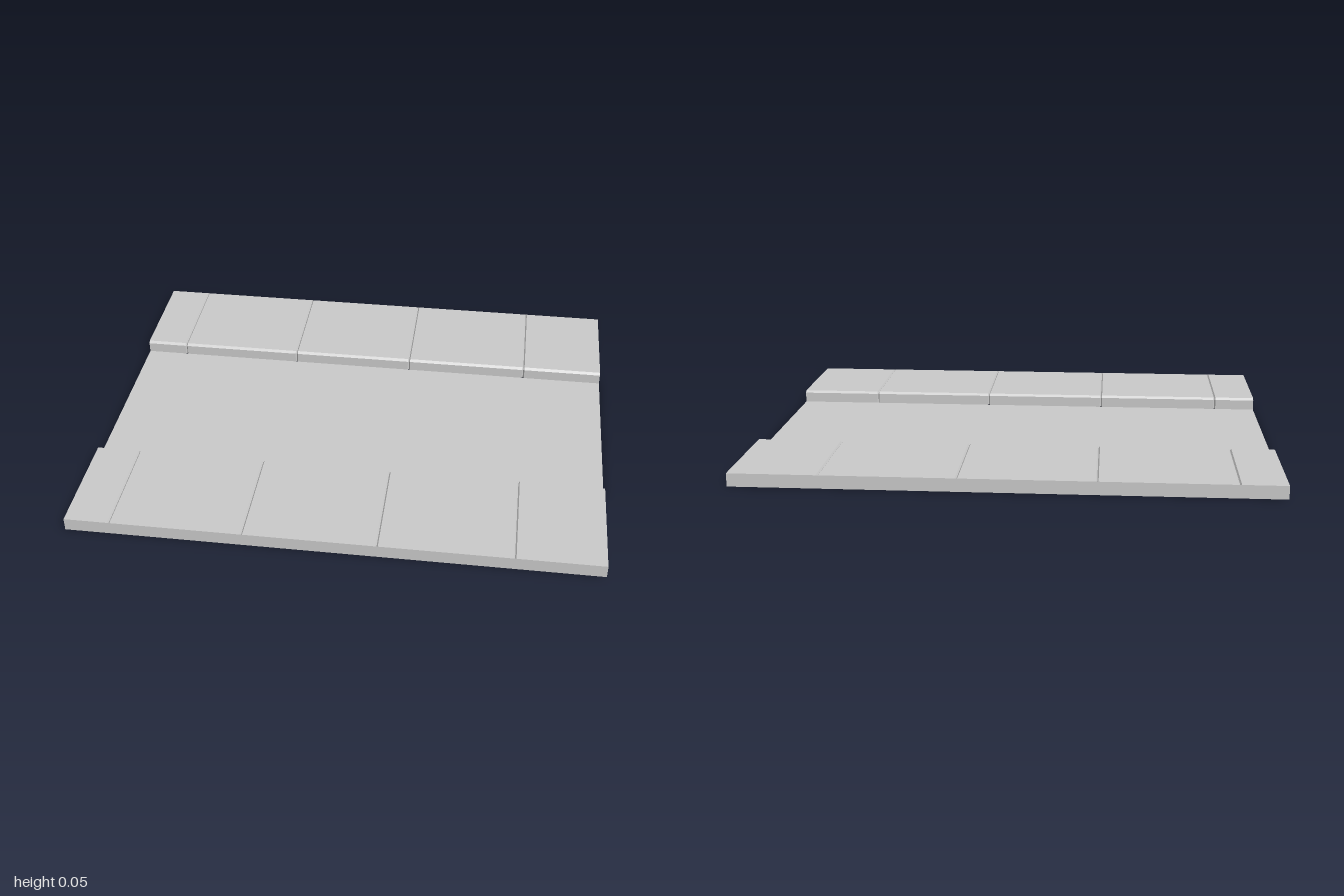
import * as THREE from 'three';

const material = new THREE.MeshStandardMaterial({
  color: 0xcccccc, flatShading: true, side: THREE.DoubleSide,
});

const LENGTH = 2, HEIGHT = 0.05, OUTER = 0.833, CURB = 0.386, BEVEL = 0.009;
const JOINTS = [-0.83, -0.33, 0.17, 0.67];
const GROOVE_HALF = 0.005, GROOVE_DEPTH = 0.006;

// Cross-section from outer edge to gutter: z, y and the direction a groove sinks in
const PROFILE = [
  { z: OUTER, y: HEIGHT, dz: 0, dy: -1 },
  { z: CURB + BEVEL, y: HEIGHT, dz: 0.4, dy: -1 },
  { z: CURB, y: HEIGHT - BEVEL, dz: 1, dy: -0.4 },
  { z: CURB, y: 0, dz: 1, dy: 0 },
];

// Sweeps the pavement and curb profile along x, sinking a V groove at every joint
function pavementGeometry(joints) {
  const stations = [{ x: -LENGTH / 2, sink: 0 }];
  for (const j of joints) {
    stations.push({ x: j - GROOVE_HALF, sink: 0 }, { x: j, sink: GROOVE_DEPTH }, { x: j + GROOVE_HALF, sink: 0 });
  }
  stations.push({ x: LENGTH / 2, sink: 0 });

  const point = (s, p) => [s.x, p.y + p.dy * s.sink, p.z + p.dz * s.sink];
  const positions = [];
  for (let i = 0; i < stations.length - 1; i++) {
    for (let k = 0; k < PROFILE.length - 1; k++) {
      const a = point(stations[i], PROFILE[k]);
      const b = point(stations[i + 1], PROFILE[k]);
      const c = point(stations[i + 1], PROFILE[k + 1]);
      const d = point(stations[i], PROFILE[k + 1]);
      positions.push(...a, ...b, ...c, ...a, ...c, ...d);
    }
  }
  const geometry = new THREE.BufferGeometry();
  geometry.setAttribute('position', new THREE.Float32BufferAttribute(positions, 3));
  geometry.computeVertexNormals();
  return geometry;
}

function addMesh(parent, name, geometry) {
  const mesh = new THREE.Mesh(geometry, material);
  mesh.name = name;
  parent.add(mesh);
  return mesh;
}

// One pavement with its curb and the outer side wall
function createSidewalk(name, joints) {
  const sidewalk = new THREE.Group();
  sidewalk.name = name;
  addMesh(sidewalk, 'pavementAndCurb', pavementGeometry(joints));
  addMesh(sidewalk, 'outerWall', new THREE.PlaneGeometry(LENGTH, HEIGHT))
    .position.set(0, HEIGHT / 2, OUTER);
  return sidewalk;
}

export function createModel() {
  const model = new THREE.Group();
  model.name = 'roadSection';

  // Flat roadway between the curbs
  addMesh(model, 'roadway', new THREE.PlaneGeometry(LENGTH, CURB * 2).rotateX(-Math.PI / 2));

  // Sidewalks; the back one is turned round, so its joints are reversed to line up
  model.add(createSidewalk('frontSidewalk', JOINTS));
  const back = createSidewalk('backSidewalk', JOINTS.map((j) => -j).reverse());
  back.rotation.y = Math.PI;
  model.add(back);

  return model;
}
